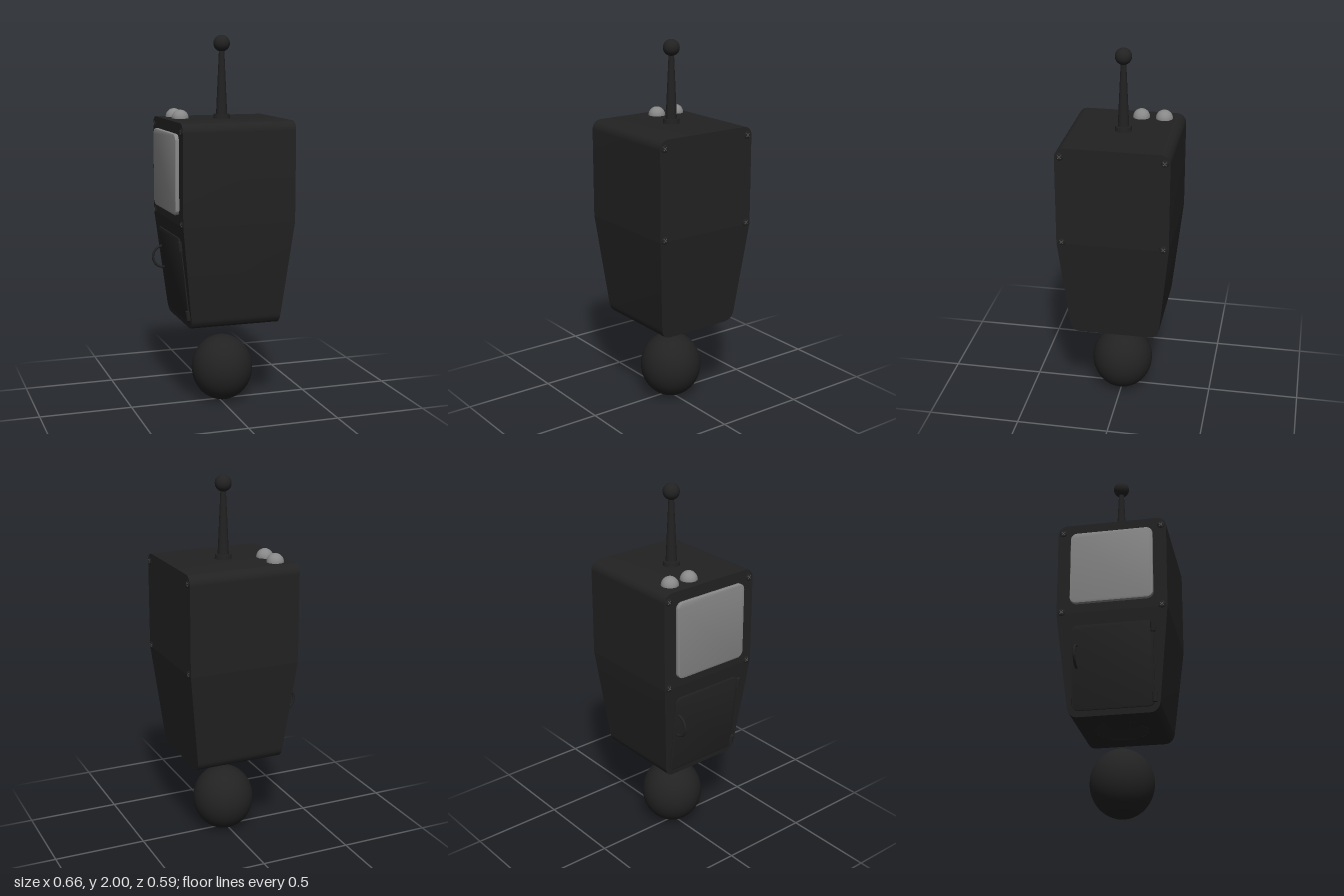
import * as THREE from 'three';
import { toCreasedNormals } from 'three/addons/utils/BufferGeometryUtils.js';

const paint = (color, side = THREE.FrontSide) => new THREE.MeshStandardMaterial({ color, side });
const dark = paint(0x222222);
const darkTwoSided = paint(0x222222, THREE.DoubleSide);
const grey = paint(0x888888);
const mark = paint(0x555555);

const CX = 0.02, BOTTOM = 0.47, KINK = 1.03, TOP = 1.56;
const HALF_TOP = 0.306, HALF_BOTTOM = 0.243;
const SLANT = Math.atan((HALF_TOP - HALF_BOTTOM) / (KINK - BOTTOM));

function part(parent, name, geometry, material, x = 0, y = 0, z = 0) {
  const mesh = new THREE.Mesh(geometry, material);
  mesh.name = name;
  mesh.position.set(x, y, z);
  parent.add(mesh);
  return mesh;
}

// Half-width of the housing along x at height y
function halfWidth(y) {
  const t = Math.min(1, (y - BOTTOM) / (KINK - BOTTOM));
  return HALF_BOTTOM + (HALF_TOP - HALF_BOTTOM) * t;
}

// Extrudes a side profile across x, tapers it, and drops faces lying in the open planes
function section(shape, openPlanes) {
  const geo = new THREE.ExtrudeGeometry(shape, { depth: 2, bevelEnabled: false, curveSegments: 10 });
  geo.translate(0, 0, -1).rotateY(Math.PI / 2);
  const p = geo.attributes.position, kept = [];
  for (let i = 0; i < p.count; i += 3) {
    const flat = openPlanes.some(h => [0, 1, 2].every(k => Math.abs(p.getY(i + k) - h) < 1e-4));
    if (flat) continue;
    for (let k = i; k < i + 3; k++) {
      kept.push(CX + p.getX(k) * halfWidth(p.getY(k)), p.getY(k), p.getZ(k));
    }
  }
  const out = new THREE.BufferGeometry();
  out.setAttribute('position', new THREE.Float32BufferAttribute(kept, 3));
  return toCreasedNormals(out, 0.4);
}

// Rounded plate standing in the yz plane, facing -x
function plate(width, height, r, depth, bevel) {
  const w = width / 2 - bevel, h = height / 2 - bevel;
  const s = new THREE.Shape();
  s.moveTo(-w + r, -h).lineTo(w - r, -h).absarc(w - r, -h + r, r, -Math.PI / 2, 0);
  s.absarc(w - r, h - r, r, 0, Math.PI / 2).absarc(-w + r, h - r, r, Math.PI / 2, Math.PI);
  s.absarc(-w + r, -h + r, r, Math.PI, Math.PI * 1.5);
  const geo = new THREE.ExtrudeGeometry(s, {
    depth: depth - bevel, bevelSize: bevel, bevelThickness: bevel, bevelSegments: 2, curveSegments: 6,
  });
  return toCreasedNormals(geo.rotateY(-Math.PI / 2), 0.5);
}

// Domed screw with a crossed slot, facing +x
function screw(parent, x, y, z, dir) {
  const g = new THREE.Group();
  g.name = 'screw';
  const head = part(g, 'screwHead', new THREE.SphereGeometry(0.02, 16, 10), dark);
  head.scale.x = 0.25;
  for (const a of [-1, 1]) {
    part(g, 'screwSlot', new THREE.BoxGeometry(0.002, 0.026, 0.004), mark, 0.0045).rotation.x = a * Math.PI / 4;
  }
  g.position.set(x, y, z);
  if (dir < 0) g.rotation.y = Math.PI;
  parent.add(g);
}

export function createModel() {
  const model = new THREE.Group();
  model.name = 'device';

  // Housing: straight upper half, tapered lower half
  const upper = new THREE.Shape();
  upper.moveTo(-0.295, KINK).lineTo(0.295, KINK).lineTo(0.295, TOP - 0.05);
  upper.absarc(0.245, TOP - 0.05, 0.05, 0, Math.PI / 2);
  upper.absarc(-0.245, TOP - 0.05, 0.05, Math.PI / 2, Math.PI).closePath();
  part(model, 'upperHousing', section(upper, [KINK]), dark);

  const lower = new THREE.Shape();
  lower.moveTo(0.295, KINK).lineTo(-0.295, KINK).lineTo(-0.243, 0.53);
  lower.quadraticCurveTo(-0.237, BOTTOM, -0.185, BOTTOM).lineTo(0.185, BOTTOM);
  lower.quadraticCurveTo(0.237, BOTTOM, 0.243, 0.53).closePath();
  part(model, 'lowerHousing', section(lower, [KINK, BOTTOM]), dark);

  // Underside with a round socket above the floating ball
  const base = new THREE.Shape();
  base.moveTo(-HALF_BOTTOM, -0.185).lineTo(HALF_BOTTOM, -0.185);
  base.lineTo(HALF_BOTTOM, 0.185).lineTo(-HALF_BOTTOM, 0.185).closePath();
  base.holes.push(new THREE.Path().absarc(0, 0, 0.14, 0, Math.PI * 2, true));
  const underside = new THREE.ShapeGeometry(base, 32).rotateX(Math.PI / 2);
  part(model, 'underside', underside, darkTwoSided, CX, BOTTOM, 0);
  const bowl = new THREE.SphereGeometry(0.175, 32, 10, 0, Math.PI * 2, 0, Math.asin(0.14 / 0.175));
  part(model, 'socket', bowl, darkTwoSided, CX, BOTTOM - 0.105, 0);
  const ball = part(model, 'ball', new THREE.SphereGeometry(0.168, 40, 28), dark, 0.017, 0.182, 0);
  ball.scale.y = 0.182 / 0.168;

  // Antenna
  const antenna = new THREE.Group();
  antenna.name = 'antenna';
  antenna.position.set(0.016, TOP, -0.004);
  part(antenna, 'antennaBase', new THREE.CylinderGeometry(0.043, 0.045, 0.024, 24), dark, 0, 0.012, 0);
  part(antenna, 'antennaRod', new THREE.CylinderGeometry(0.014, 0.03, 0.35, 24), dark, 0, 0.195, 0);
  part(antenna, 'antennaTip', new THREE.SphereGeometry(0.044, 24, 16), dark, 0, 0.396, 0);
  model.add(antenna);

  // Domed lamps on the roof
  for (const z of [-0.188, -0.065]) {
    part(model, 'lamp', new THREE.SphereGeometry(0.046, 28, 18), grey, -0.197, TOP, z);
  }

  // Screws on both side faces
  for (const dir of [-1, 1]) {
    for (const y of [1.515, 1.04]) {
      for (const z of [-0.267, 0.267]) screw(model, CX + dir * HALF_TOP, y, z, dir);
    }
  }

  // Screen on the right face
  part(model, 'screen', plate(0.445, 0.42, 0.03, 0.02, 0.006), grey, CX - HALF_TOP, 1.29, 0);

  // Slanted door with hinges and a pull handle
  const door = new THREE.Group();
  door.name = 'door';
  door.position.set(CX - halfWidth(0.73), 0.73, 0);
  door.rotation.z = SLANT;
  part(door, 'doorPanel', plate(0.43, 0.46, 0.03, 0.006, 0.003), dark);
  for (const y of [-0.185, 0.19]) {
    part(door, 'hinge', new THREE.CylinderGeometry(0.013, 0.013, 0.05, 16), dark, -0.006, y, 0.215);
  }
  const handle = new THREE.TorusGeometry(0.06, 0.007, 10, 28, Math.PI).rotateZ(Math.PI / 2);
  part(door, 'handle', handle, dark, -0.004, 0.06, -0.188);
  model.add(door);

  return model;
}
